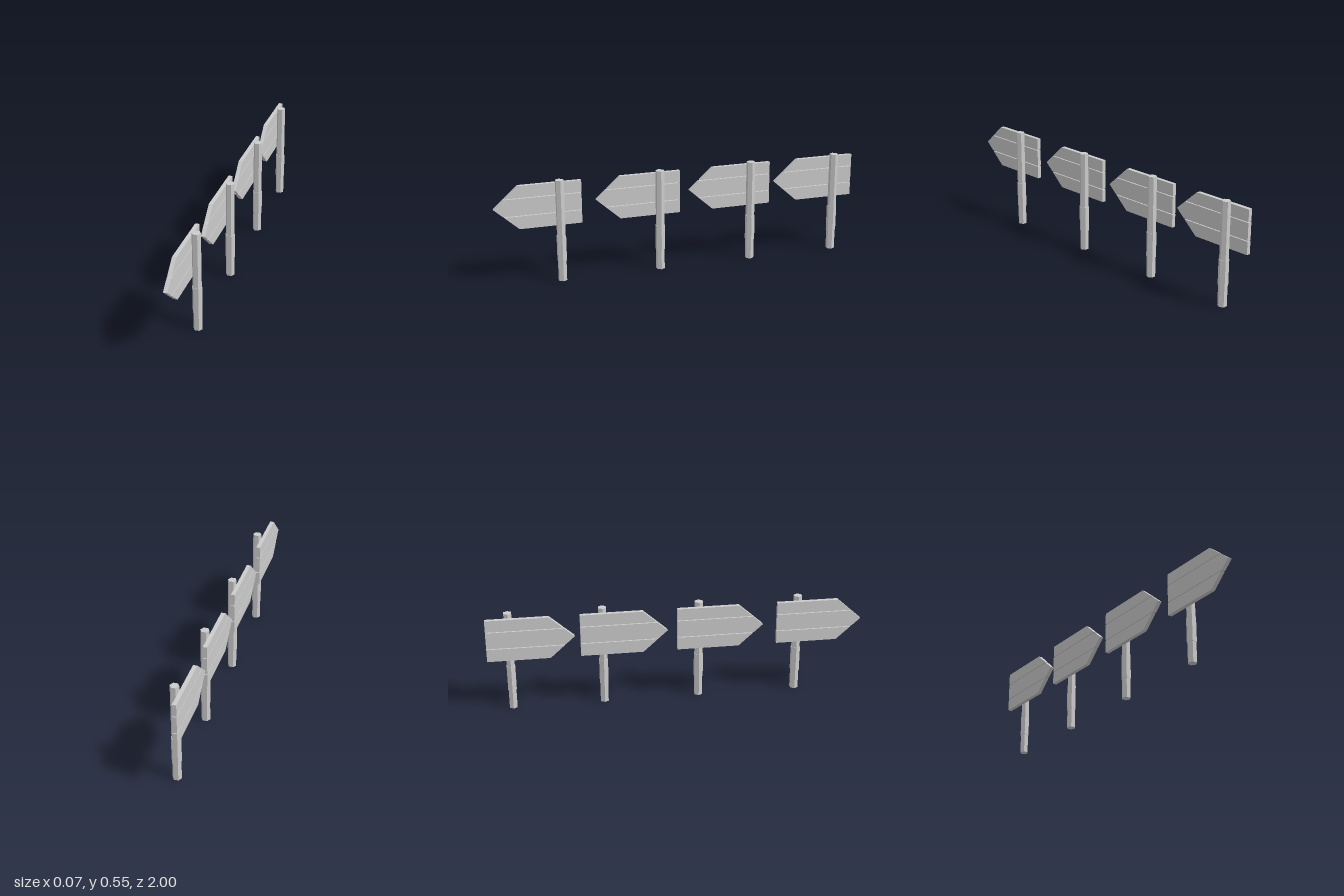
import * as THREE from 'three';

const material = new THREE.MeshStandardMaterial({ color: 0xcccccc, flatShading: true });

// Sign outline, z measured from the post
const BACK = -0.12, SHOULDER = 0.21, TIP = 0.34;
const BOTTOM = 0.297, TOP = 0.529, MID = (BOTTOM + TOP) / 2;

// z of the arrow edge at height y
const edge = (y) => TIP - (TIP - SHOULDER) * Math.abs(y - MID) / (TOP - MID);

// Hexagonal bar with two corners on the x axis
function hexBar(name, radius, y0, y1) {
  const geometry = new THREE.CylinderGeometry(radius, radius, y1 - y0, 6, 1, false, Math.PI / 2);
  const mesh = new THREE.Mesh(geometry, material);
  mesh.name = name;
  mesh.position.set(0.0093, (y0 + y1) / 2, 0);
  return mesh;
}

// One horizontal board, cut along the arrow outline
function plank(name, y0, y1) {
  const points = [[BACK, y0], [edge(y0), y0]];
  if (y0 < MID && y1 > MID) points.push([TIP, MID]);
  points.push([edge(y1), y1], [BACK, y1]);
  const shape = new THREE.Shape(points.map(([z, y]) => new THREE.Vector2(z, y)));
  const geometry = new THREE.ExtrudeGeometry(shape, { depth: 0.0215, bevelEnabled: false });
  geometry.rotateY(-Math.PI / 2);
  const mesh = new THREE.Mesh(geometry, material);
  mesh.name = name;
  mesh.position.x = -0.0155;
  return mesh;
}

function signpost() {
  const group = new THREE.Group();
  group.name = 'signpost';
  group.add(
    hexBar('post', 0.0237, 0, 0.549),
    hexBar('postSleeve', 0.0263, 0.11, 0.247),
    plank('lowerPlank', BOTTOM, 0.366),
    plank('middlePlank', 0.37, 0.461),
    plank('upperPlank', 0.465, TOP),
  );
  return group;
}

export function createModel() {
  const model = new THREE.Group();
  model.name = 'arrowSignposts';
  // Row of four identical signposts
  for (const z of [0.66, 0.123, -0.39, -0.88]) {
    const sign = signpost();
    sign.position.z = z;
    model.add(sign);
  }
  return model;
}
